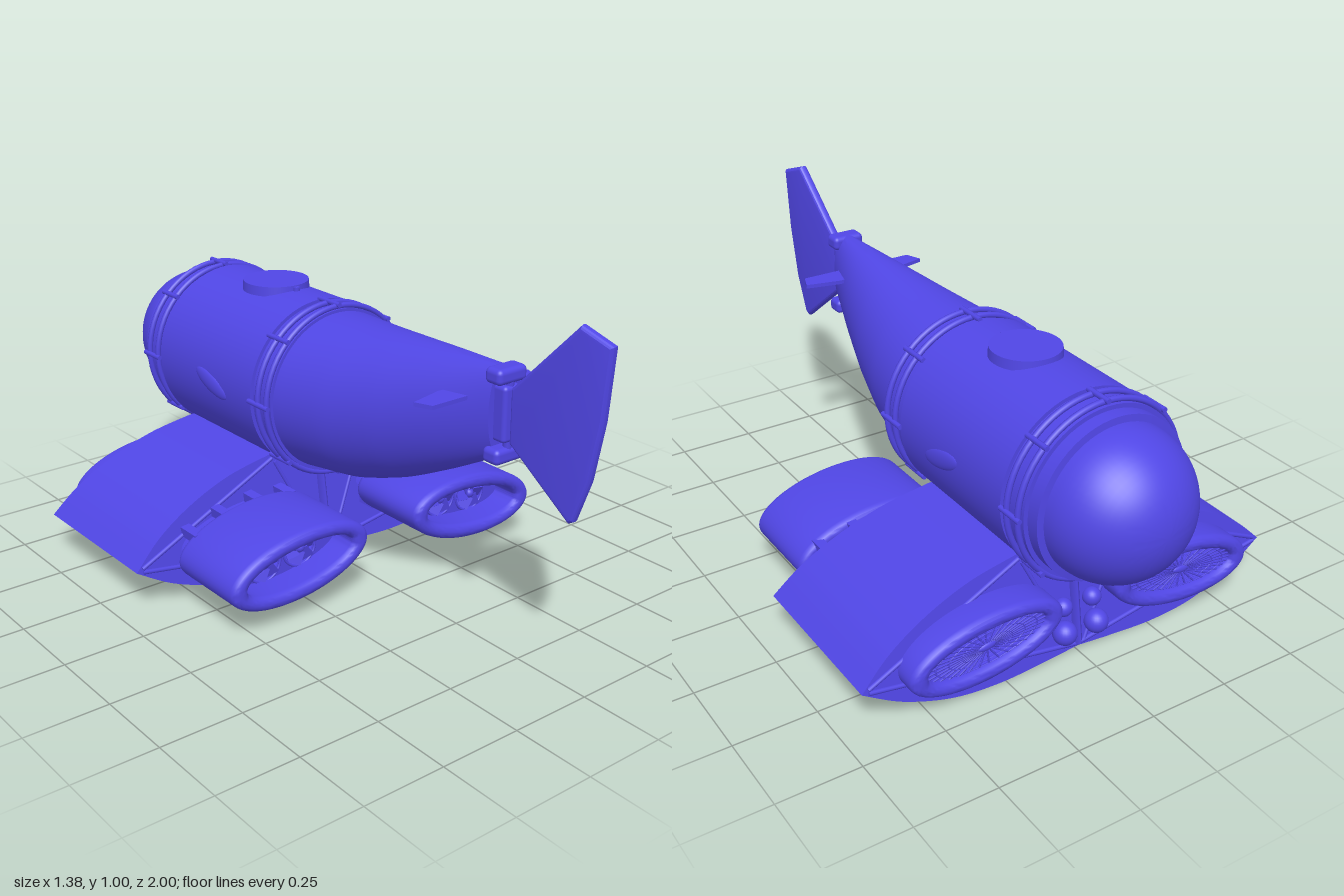
import * as THREE from 'three';
import { toCreasedNormals } from 'three/addons/utils/BufferGeometryUtils.js';
import { RoundedBoxGeometry } from 'three/addons/geometries/RoundedBoxGeometry.js';

const AXIS_Y = 0.567; // height of the hull axis
const POD = { x: 0.335, y: 0.177, rx: 0.245, ry: 0.106, tilt: 0.12 };
const V = (x, y, z) => new THREE.Vector3(x, y, z);
const V2 = (x, y) => new THREE.Vector2(x, y);

export function createModel() {
  const root = new THREE.Group();
  const mat = new THREE.MeshStandardMaterial({ color: 0x5046e5, side: THREE.DoubleSide });

  function add(name, geo, x = 0, y = 0, z = 0, parent = root) {
    const m = new THREE.Mesh(geo, mat);
    m.name = name;
    m.position.set(x, y, z);
    parent.add(m);
    return m;
  }
  function group(name, parent = root) {
    const g = new THREE.Group();
    g.name = name;
    parent.add(g);
    return g;
  }
  // Round bar between two points
  function rod(name, a, b, r, parent = root, sides = 8) {
    const d = b.clone().sub(a);
    const m = add(name, new THREE.CylinderGeometry(r, r, d.length(), sides), 0, 0, 0, parent);
    m.position.copy(a).add(b).multiplyScalar(0.5);
    m.quaternion.setFromUnitVectors(V(0, 1, 0), d.normalize());
    return m;
  }
  const ellipse = (x, y, rx, ry, rot = 0) => new THREE.Shape().absellipse(x, y, rx, ry, 0, Math.PI * 2, false, rot);
  const extrude = (shape, depth, bevel = 0, crease = 0.6) => toCreasedNormals(new THREE.ExtrudeGeometry(shape, {
    depth: depth - 2 * bevel, curveSegments: 32, bevelEnabled: bevel > 0,
    bevelThickness: bevel, bevelSize: bevel, bevelOffset: -bevel, bevelSegments: 4,
  }).translate(0, 0, bevel), crease);

  // Hull with recessed ring seats, collar and nose dome, turned about the long axis
  const profile = [];
  for (let i = 0; i <= 16; i++) {
    const a = (i / 16) * Math.PI / 2;
    profile.push(V2(0.223 * Math.sin(a), -0.777 - 0.223 * Math.cos(a)));
  }
  [[0.243, -0.775], [0.243, -0.735], [0.256, -0.735], [0.256, -0.645], [0.267, -0.645], [0.267, -0.14],
    [0.256, -0.14], [0.256, -0.05], [0, -0.05]].forEach(([r, z]) => profile.push(V2(r, z)));
  add('hull', toCreasedNormals(new THREE.LatheGeometry(profile, 64).rotateX(Math.PI / 2), 0.5), 0, AXIS_Y, 0);

  // Clamping hoops and the bolts that tie each pair
  const clamps = group('clampRings');
  for (const z of [-0.06, -0.105, -0.67, -0.72]) {
    add('hoop', new THREE.TorusGeometry(0.264, 0.009, 8, 64), 0, AXIS_Y, z, clamps);
  }
  for (const [z0, z1] of [[-0.045, -0.145], [-0.65, -0.738]]) {
    for (let i = 0; i < 8; i++) {
      const a = i * Math.PI / 4, x = 0.27 * Math.cos(a), y = AXIS_Y + 0.27 * Math.sin(a);
      rod('clampBolt', V(x, y, z0), V(x, y, z1), 0.008, clamps);
    }
  }

  // Tail cone: flat along the top, sweeping up underneath (half width, bottom, top)
  const sections = new THREE.CatmullRomCurve3([
    V(0.247, 0.322, 0.814), V(0.212, 0.345, 0.818), V(0.165, 0.402, 0.826),
    V(0.11, 0.485, 0.834), V(0.05, 0.578, 0.84)]);
  const tail = new THREE.CylinderGeometry(1, 1, 1, 64, 24).rotateX(Math.PI / 2);
  const tp = tail.attributes.position;
  for (let i = 0; i < tp.count; i++) {
    const t = tp.getZ(i) + 0.5, s = sections.getPoint(t);
    tp.setXYZ(i, tp.getX(i) * s.x, (s.y + s.z) / 2 + tp.getY(i) * (s.z - s.y) / 2, -0.05 + 0.7 * t);
  }
  add('tailCone', toCreasedNormals(tail, 0.7));

  // Rudder hinge and rudder, turned slightly to one side
  add('upperKnuckle', new RoundedBoxGeometry(0.105, 0.045, 0.06, 3, 0.015), 0, 0.817, 0.66);
  add('lowerKnuckle', new RoundedBoxGeometry(0.105, 0.045, 0.06, 3, 0.015), 0, 0.593, 0.66);
  add('hingeBracket', new RoundedBoxGeometry(0.06, 0.16, 0.06, 3, 0.012), 0, 0.71, 0.66);
  rod('hingePin', V(0, 0.59, 0.675), V(0, 0.82, 0.675), 0.012);
  const blade = new THREE.Shape([[0, 0.63], [0.205, 0.465], [0.222, 0.475], [0.265, 0.6], [0.295, 0.77],
    [0.31, 0.97], [0.21, 1.005], [0, 0.785]].map(p => V2(...p)));
  const rudder = add('rudder', extrude(blade, 0.032, 0.014, 0.3).translate(0, 0, -0.016).rotateY(-Math.PI / 2), 0, 0, 0.69);
  rudder.rotation.y = 0.1;

  // Roof hatch
  add('hatch', new THREE.CylinderGeometry(0.103, 0.105, 0.03, 48), 0, 0.834, -0.37);
  add('hatchLatch', new THREE.CylinderGeometry(0.01, 0.01, 0.015, 12), 0, 0.838, -0.262);

  // Wing body with a duct through each half; end faces lean inward toward the top
  const wingEnd = (y) => 0.055 * (y - 0.02) / 0.35;
  const wing = new THREE.Shape();
  wing.moveTo(0, 0.02);
  wing.splineThru([V2(0.12, 0.01), V2(0.27, 0.003), V2(0.42, 0.017), V2(0.57, 0.065), V2(0.69, 0.132)]);
  wing.splineThru([V2(0.6, 0.215), V2(0.48, 0.285), V2(0.34, 0.337), V2(0.19, 0.365)]);
  wing.lineTo(-0.19, 0.365);
  wing.splineThru([V2(-0.34, 0.337), V2(-0.48, 0.285), V2(-0.6, 0.215), V2(-0.69, 0.132)]);
  wing.splineThru([V2(-0.57, 0.065), V2(-0.42, 0.017), V2(-0.27, 0.003), V2(-0.12, 0.01), V2(0, 0.02)]);
  for (const s of [1, -1]) wing.holes.push(ellipse(s * POD.x, POD.y, 0.2, 0.066, -s * POD.tilt));
  const wingGeo = new THREE.ExtrudeGeometry(wing, { depth: 1, bevelEnabled: false, curveSegments: 32 });
  const wp = wingGeo.attributes.position;
  for (let i = 0; i < wp.count; i++) {
    const k = wingEnd(wp.getY(i));
    wp.setZ(i, wp.getZ(i) > 0.5 ? -0.108 - k : -0.662 + k);
  }
  add('wingBody', toCreasedNormals(wingGeo, 0.5));

  // Ribs on both end faces
  const ribs = group('wingRibs');
  for (const end of [1, -1]) {
    const at = (x, y) => V(x, y, end > 0 ? -0.108 - wingEnd(y) : -0.662 + wingEnd(y));
    rod('centreRib', at(0, 0.03), at(0, 0.31), 0.016, ribs, 4);
    for (const s of [1, -1]) {
      rod('lowerRib', at(0, 0.028), at(s * 0.67, 0.13), 0.007, ribs);
      rod('upperRib', at(s * 0.18, 0.352), at(s * 0.67, 0.14), 0.007, ribs);
      rod('braceRib', at(s * 0.02, 0.03), at(s * 0.17, 0.34), 0.006, ribs);
    }
  }
  add('ribBolt', new THREE.SphereGeometry(0.012, 12, 8), 0, 0.303, -0.14);

  for (const s of [1, -1]) {
    const side = group(s > 0 ? 'leftSide' : 'rightSide');

    // Porthole blister
    const port = add('porthole', new THREE.SphereGeometry(1, 32, 16), s * 0.262, 0.563, -0.355, side);
    port.scale.set(0.013, 0.03, 0.09);
    port.rotation.x = 0.3;

    // Small tail fin
    const fin = new THREE.Shape([[0.03, 0.52], [0.1, 0.51], [0.21, 0.535], [0.19, 0.587], [0.03, 0.587]]
      .map(([x, z]) => V2(s * x, z)));
    add('tailFin', extrude(fin, 0.012).rotateX(Math.PI / 2), 0, 0.748, 0, side);

    // Lamps between the intakes
    add('lowerLamp', new THREE.SphereGeometry(0.036, 24, 16), s * 0.055, 0.09, -0.67, side);
    add('upperLamp', new THREE.SphereGeometry(0.028, 24, 16), s * 0.05, 0.165, -0.65, side);

    // Thruster pod: outlet shell, rear intake, fans and grille
    const pod = group('thrusterPod', side);
    pod.position.set(s * POD.x, POD.y, 0);
    pod.rotation.z = -s * POD.tilt;
    const shell = ellipse(0, 0, POD.rx, POD.ry);
    shell.holes.push(ellipse(0, 0, 0.19, 0.058));
    add('outletShell', extrude(shell, 0.3, 0.022), 0, 0, -0.085, pod);
    add('intakeShell', extrude(shell, 0.13, 0.022), 0, 0, -0.717, pod);
    for (const x of [-0.17, -0.06, 0.06, 0.17]) {
      for (const y of [-1, 1]) {
        add('podMount', new THREE.BoxGeometry(0.03, 0.03, 0.08), x, y * 0.082 * Math.sqrt(1 - (x / 0.245) ** 2), -0.1, pod);
      }
    }

    const fanX = [-0.058, 0.07].map(x => s * x);
    const plate = ellipse(0, 0, 0.205, 0.074);
    fanX.forEach(x => plate.holes.push(ellipse(x, 0, 0.058, 0.058)));
    add('fanPlate', extrude(plate, 0.012), 0, 0, 0.1, pod);
    for (const x of fanX) {
      const fan = group('fan', pod);
      fan.position.set(x, 0, 0.112);
      add('fanRing', new THREE.TorusGeometry(0.058, 0.004, 8, 32), 0, 0, 0, fan);
      add('fanHub', new THREE.SphereGeometry(0.016, 16, 12), 0, 0, 0, fan);
      for (let i = 0; i < 6; i++) {
        const arm = group('fanArm', fan);
        arm.rotation.z = i * Math.PI / 3;
        add('fanBlade', new THREE.BoxGeometry(0.042, 0.042, 0.004), 0.031, 0, 0, arm).rotation.x = 0.5;
      }
    }

    const grille = group('intakeGrille', pod);
    grille.position.z = -0.695;
    for (const k of [0.2, 0.4, 0.6, 0.8]) {
      const ring = add('grilleRing', new THREE.TorusGeometry(1, 0.02, 6, 48), 0, 0, 0, grille);
      ring.scale.set(0.205 * k, 0.072 * k, 0.15);
    }
    for (let i = 0; i < 32; i++) {
      const a = i * Math.PI / 16;
      rod('grilleSpoke', V(0.02 * Math.cos(a), 0.007 * Math.sin(a), 0),
        V(0.205 * Math.cos(a), 0.072 * Math.sin(a), 0), 0.003, grille, 5);
    }
    add('grilleHub', new THREE.SphereGeometry(1, 16, 12), 0, 0, 0, grille).scale.set(0.03, 0.012, 0.008);
  }
  return root;
}
